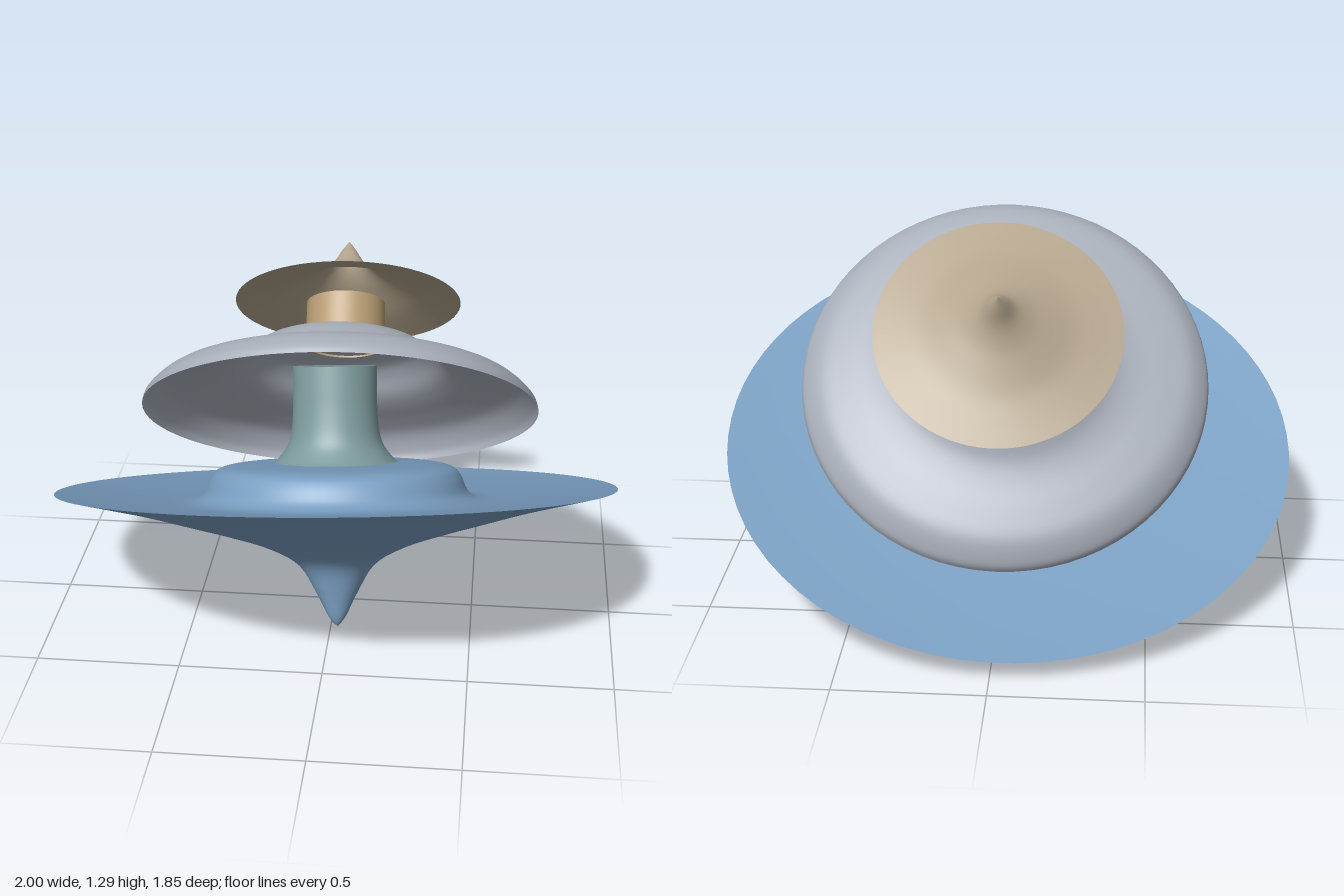
import * as THREE from 'three';

const SEGMENTS = 72;
const { degToRad } = THREE.MathUtils;

// Smooth curve through [radius, height] pairs, spun round the local y axis.
// Several curves make separate surfaces so that the edge between them stays sharp.
function spun(name, color, ...profiles) {
  const group = new THREE.Group();
  group.name = name;
  const material = new THREE.MeshStandardMaterial({ color, side: THREE.DoubleSide });
  profiles.forEach((profile, i) => {
    const curve = new THREE.SplineCurve(profile.map(([r, y]) => new THREE.Vector2(r, y)));
    const points = curve.getPoints(profile.length * 4);
    points.forEach((p) => { p.x = Math.max(p.x, 0); });
    const mesh = new THREE.Mesh(new THREE.LatheGeometry(points, SEGMENTS), material);
    mesh.name = `${name}Surface${i + 1}`;
    group.add(mesh);
  });
  return group;
}

// A tier leaning backwards by the given angle, with a slight roll to one side
function tier(name, [x, y, z], lean, roll) {
  const group = new THREE.Group();
  group.name = name;
  group.position.set(x, y, z);
  group.rotation.set(-degToRad(lean), 0, degToRad(roll));
  return group;
}

export function createModel() {
  const model = new THREE.Group();
  model.name = 'tieredSpinningTop';

  // Large dished lower disc with a spike below and a raised step on top
  const lower = tier('lowerTier', [0, 0.46, 0], 22.7, 2.7);
  lower.add(
    spun('lowerDisc', 0x7a9fc2,
      [[0, -0.5], [0.03, -0.465], [0.075, -0.375], [0.14, -0.272], [0.26, -0.205],
        [0.41, -0.155], [0.55, -0.115], [0.73, -0.064], [0.87, -0.03], [1, 0]],
      [[1, 0], [0.85, -0.018], [0.65, -0.035], [0.53, -0.038], [0.475, -0.015], [0.45, 0.04],
        [0.42, 0.073], [0.35, 0.088], [0.2, 0.095], [0, 0.097]]),
    // Flared column with a flat end
    spun('lowerColumn', 0x7d9a9c,
      [[0.23, 0.09], [0.21, 0.105], [0.175, 0.15], [0.158, 0.2], [0.151, 0.28], [0.15, 0.36], [0.15, 0.438]],
      [[0.15, 0.438], [0, 0.438]]),
  );

  // Middle disc, a thin domed shell open below, carrying a short neck
  const middle = tier('middleTier', [0.005, 0.71, -0.1], 41.6, 2.3);
  const neck = spun('upperNeck', 0xb59a72,
    [[0.145, 0.265], [0.143, 0.34], [0.142, 0.425]],
    [[0.142, 0.425], [0, 0.425]]);
  neck.position.set(0.01, 0, -0.03);
  middle.add(
    spun('middleDisc', 0xa9afba,
      [[0.705, 0], [0.693, 0.035], [0.635, 0.09], [0.55, 0.12], [0.45, 0.147], [0.38, 0.177],
        [0.32, 0.226], [0.26, 0.256], [0.13, 0.277], [0, 0.28]]),
    neck,
  );

  // Pointed hat, a thin shell open below
  const top = tier('topTier', [0.005, 1.005, -0.41], 43, 2.5);
  top.add(spun('pointedHat', 0xb3a48c,
    [[0.41, 0], [0.33, 0.02], [0.25, 0.044], [0.17, 0.08], [0.11, 0.113], [0.06, 0.155], [0.025, 0.21], [0, 0.245]]));

  model.add(lower, middle, top);
  return model;
}
